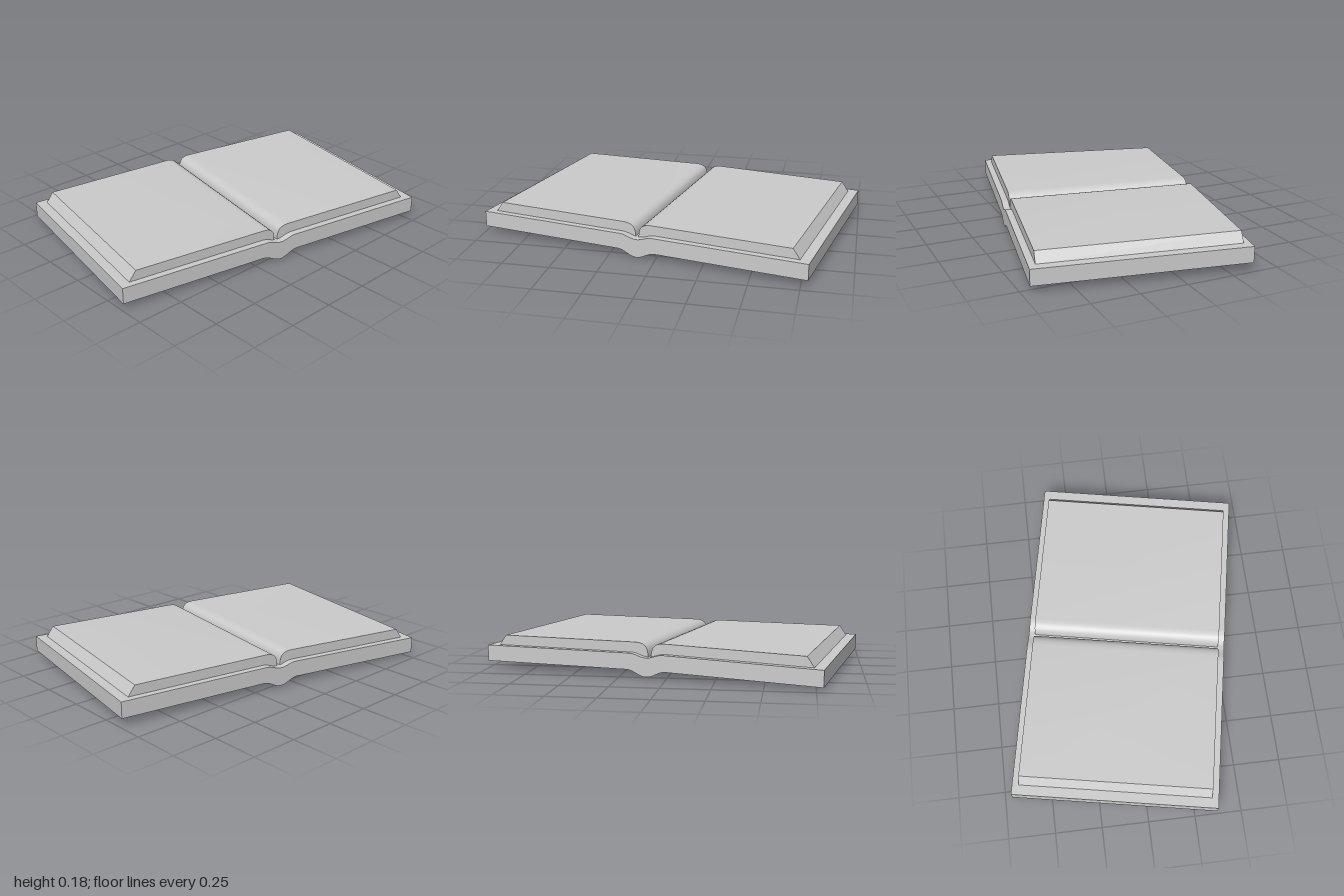
import * as THREE from 'three';
import { toCreasedNormals } from 'three/addons/utils/BufferGeometryUtils.js';

const HALF_WIDTH = 0.905, COVER_DEPTH = 1.098, PAGE_DEPTH = 1.026;
const material = new THREE.MeshStandardMaterial({ color: 0xcccccc });

// smooth bump, 1 at the spine and 0 from distance w outward
const bump = (x, w) => Math.abs(x) >= w ? 0 : 0.5 + 0.5 * Math.cos(Math.PI * x / w);
const coverTop = x => 0.12 - 0.02 * bump(x, 0.09);
const coverBottom = x => 0.035 - 0.034 * bump(x, 0.105);

// x positions, dense around the spine
function stations(from, to, n) {
  return Array.from({ length: n + 1 }, (_, i) => from + (to - from) * i / n);
}

// extrude a cross-section along z, then twist the book slightly
function slab(name, points, depth) {
  const shape = new THREE.Shape(points.map(([x, y]) => new THREE.Vector2(x, y)));
  const geo = new THREE.ExtrudeGeometry(shape, { depth, bevelEnabled: false, steps: 1 });
  geo.translate(0, 0, -depth / 2);
  const p = geo.attributes.position;
  for (let i = 0; i < p.count; i++) {
    const x = p.getX(i);
    const back = 0.5 - p.getZ(i) / COVER_DEPTH;
    const lift = 0.01 + 0.028 * Math.min(0, x) / HALF_WIDTH;
    p.setY(i, p.getY(i) + back * lift);
  }
  const mesh = new THREE.Mesh(toCreasedNormals(geo, Math.PI / 5), material);
  mesh.name = name;
  return mesh;
}

export function createModel() {
  const book = new THREE.Group();
  book.name = 'openBook';

  // cover with a spine that sags in the middle
  const xs = [-HALF_WIDTH, ...stations(-0.11, 0.11, 22), HALF_WIDTH];
  const cover = [
    ...xs.map(x => [x, coverBottom(x)]),
    ...xs.slice().reverse().map(x => [x, coverTop(x)]),
  ];
  book.add(slab('cover', cover, COVER_DEPTH));

  // page blocks: slanted outer edge, rounded into the gutter
  for (const side of [-1, 1]) {
    const gutter = -0.008;
    const bottom = [...stations(0.008, 0.1, 8), 0.852].map(d => {
      const x = d > 0.2 ? side * d : gutter + side * d;
      return [x, coverTop(x)];
    });
    const top = [
      [0.815, 0.173], [0.075, 0.173], [0.055, 0.171], [0.038, 0.166],
      [0.025, 0.157], [0.016, 0.145], [0.01, 0.125],
    ].map(([d, y]) => [d > 0.2 ? side * d : gutter + side * d, y]);
    book.add(slab(side < 0 ? 'rightPages' : 'leftPages', [...bottom, ...top], PAGE_DEPTH));
  }

  // the book lies turned on the ground
  book.rotation.y = -0.19;
  const model = new THREE.Group();
  model.add(book);
  return model;
}
